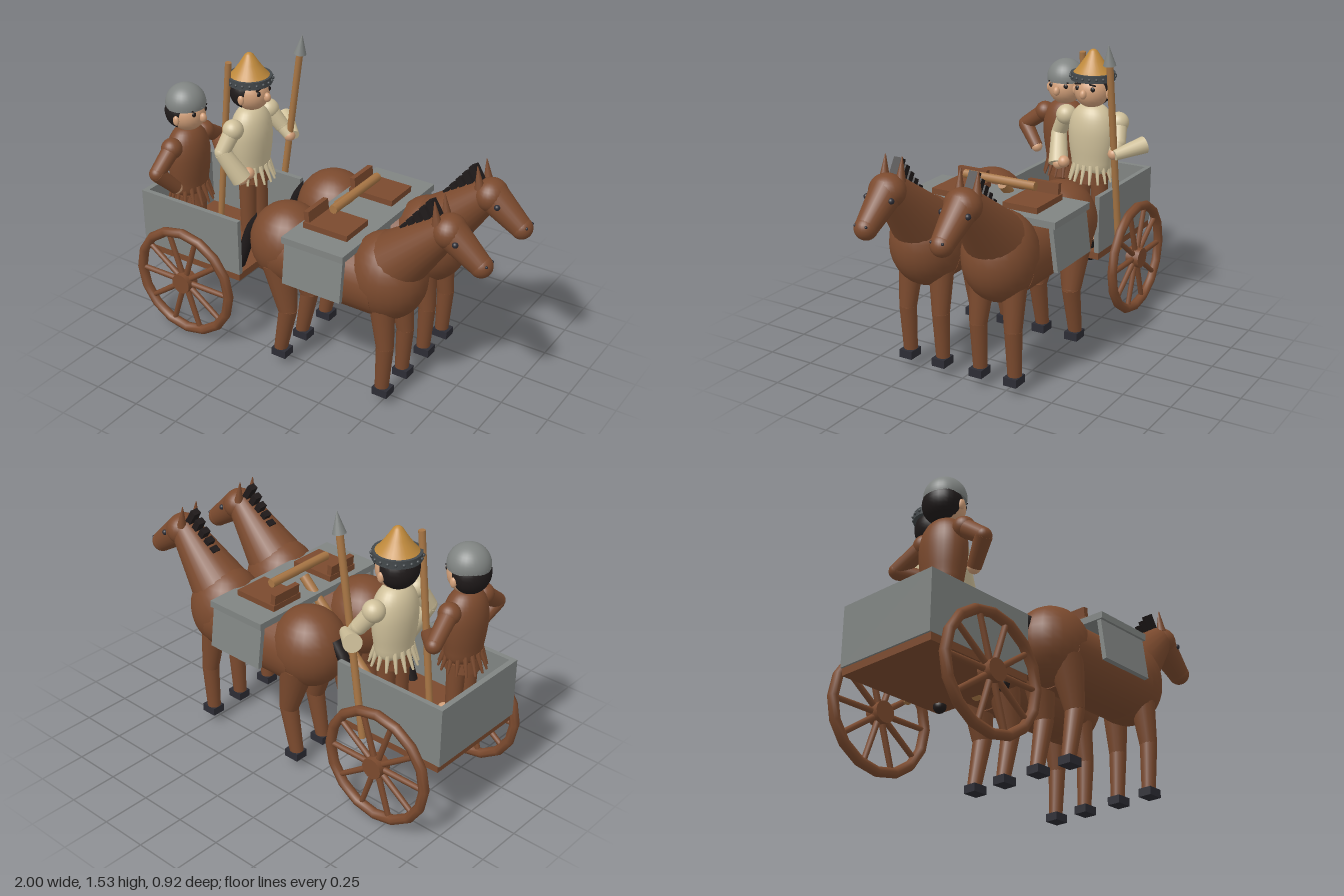
import * as THREE from 'three';

const mat = (name, color, side = THREE.FrontSide) => {
  const m = new THREE.MeshStandardMaterial({ color, side });
  m.name = name;
  return m;
};
const M = {
  brown: mat('brown', 0x7b4a2e), grey: mat('grey', 0x808482), gold: mat('gold', 0xc08a3c),
  wood: mat('wood', 0xa87645), skin: mat('skin', 0xd2a07a), cream: mat('cream', 0xcfc09a),
  charcoal: mat('charcoal', 0x2c2c34), black: mat('black', 0x1f1a1a), band: mat('band', 0x44494c),
};
const V = (p) => new THREE.Vector3(...p);

function add(parent, name, geo, material, pos = [0, 0, 0]) {
  const mesh = new THREE.Mesh(geo, material);
  mesh.name = name;
  mesh.position.set(...pos);
  parent.add(mesh);
  return mesh;
}
const box = (g, n, m, size, pos) => add(g, n, new THREE.BoxGeometry(...size), m, pos);
function ball(g, n, m, r, pos, scale = [1, 1, 1]) {
  const s = add(g, n, new THREE.SphereGeometry(r, 24, 16), m, pos);
  s.scale.set(...scale);
  return s;
}
// Tapered rod from a (radius ra) to b (radius rb)
function limb(g, n, m, a, b, ra, rb = ra, sides = 16) {
  const d = V(b).sub(V(a));
  const mesh = add(g, n, new THREE.CylinderGeometry(rb, ra, d.length(), sides), m);
  mesh.position.copy(V(a)).addScaledVector(d, 0.5);
  mesh.quaternion.setFromUnitVectors(new THREE.Vector3(0, 1, 0), d.normalize());
  return mesh;
}

function wheel(z) {
  const g = new THREE.Group();
  g.name = 'wheel';
  g.position.set(-0.685, 0.32, z);
  add(g, 'rim', new THREE.TorusGeometry(0.287, 0.026, 8, 16), M.brown);
  limb(g, 'hub', M.brown, [0, 0, -0.037], [0, 0, 0.037], 0.055);
  for (let i = 0; i < 10; i++) {
    const a = i * Math.PI / 5;
    limb(g, 'spoke', M.brown, [0, 0, 0], [0.28 * Math.cos(a), 0.28 * Math.sin(a), 0], 0.016, 0.014, 8);
  }
  return g;
}

function cart() {
  const g = new THREE.Group();
  g.name = 'cart';
  box(g, 'floor', M.brown, [0.61, 0.04, 0.575], [-0.683, 0.41, 0.005]);
  box(g, 'backPanel', M.grey, [0.028, 0.31, 0.58], [-0.984, 0.583, 0.005]);
  for (const s of [-1, 1]) {
    box(g, 'sidePanel', M.grey, [0.62, 0.31, 0.026], [-0.685, 0.583, 0.005 + s * 0.277]);
    g.add(wheel(s === 1 ? 0.364 : -0.357));
  }
  limb(g, 'drawPole', M.wood, [-0.42, 0.39, 0.005], [0.11, 0.9, 0.005], 0.026);
  limb(g, 'yoke', M.wood, [0.14, 0.93, -0.2], [0.14, 0.93, 0.205], 0.023, 0.023, 8);
  return g;
}

function horse(z) {
  const g = new THREE.Group();
  g.name = 'horse';
  g.position.z = z;
  ball(g, 'rump', M.brown, 0.2, [-0.115, 0.68, 0], [1, 1.04, 0.93]);
  ball(g, 'chest', M.brown, 0.2, [0.46, 0.68, 0], [1, 1.12, 0.93]);
  limb(g, 'barrel', M.brown, [-0.12, 0.65, 0], [0.46, 0.65, 0], 0.183, 0.183, 28);
  // Neck and head
  limb(g, 'neck', M.brown, [0.5, 0.77, 0], [0.765, 1.03, 0], 0.155, 0.077, 24);
  ball(g, 'brow', M.brown, 0.083, [0.775, 1.02, 0], [1, 1, 1.1]);
  limb(g, 'muzzle', M.brown, [0.78, 1.018, 0], [0.945, 0.89, 0], 0.082, 0.055, 24);
  ball(g, 'snout', M.brown, 0.056, [0.944, 0.891, 0]);
  for (const s of [-1, 1]) {
    limb(g, 'ear', M.brown, [0.735, 1.06, s * 0.045], [0.718, 1.175, s * 0.047], 0.026, 0.002, 10);
    ball(g, 'eye', M.charcoal, 0.015, [0.842, 1.0, s * 0.068]);
    ball(g, 'nostril', M.charcoal, 0.007, [0.984, 0.912, s * 0.03]);
  }
  // Mane tufts up the crest of the neck
  for (let i = 0; i < 6; i++) {
    const t = i / 5;
    const tuft = box(g, 'maneTuft', M.black, [0.034, 0.09, 0.045], [0.53 + 0.165 * t, 0.905 + 0.205 * t, 0]);
    tuft.rotation.z = 0.55;
  }
  // Tail
  const path = new THREE.CatmullRomCurve3([[-0.28, 0.77, 0], [-0.345, 0.68, 0], [-0.4, 0.53, 0], [-0.455, 0.38, 0]].map(V));
  add(g, 'tail', new THREE.TubeGeometry(path, 12, 0.03, 10), M.black);
  ball(g, 'tailTip', M.black, 0.032, [-0.455, 0.38, 0]);
  // Legs
  for (const s of [-1, 1]) {
    const w = s * 0.097;
    limb(g, 'thigh', M.brown, [-0.115, 0.6, w * 0.9], [-0.063, 0.345, w], 0.09, 0.05);
    ball(g, 'hock', M.brown, 0.047, [-0.063, 0.345, w]);
    limb(g, 'hindShin', M.brown, [-0.06, 0.35, w], [-0.112, 0.09, w], 0.048, 0.035);
    limb(g, 'foreThigh', M.brown, [0.48, 0.58, w * 0.9], [0.508, 0.335, w], 0.065, 0.044);
    ball(g, 'knee', M.brown, 0.043, [0.508, 0.335, w]);
    limb(g, 'foreShin', M.brown, [0.508, 0.335, w], [0.495, 0.09, w], 0.044, 0.035);
    for (const x of [-0.104, 0.502]) box(g, 'hoof', M.charcoal, [0.084, 0.042, 0.072], [x, 0.077, w]);
  }
  // Saddle cloth and saddle
  box(g, 'saddleCloth', M.grey, [0.347, 0.035, 0.45], [0.172, 0.83, 0]);
  for (const s of [-1, 1]) {
    const flap = box(g, 'clothFlap', M.grey, [0.33, 0.225, 0.024], [0.172, 0.708, s * 0.213]);
    flap.rotation.x = -s * 0.13;
  }
  box(g, 'saddleSeat', M.brown, [0.25, 0.032, 0.19], [0.16, 0.862, 0]);
  const cantle = box(g, 'cantle', M.brown, [0.028, 0.075, 0.17], [0.05, 0.895, 0]);
  cantle.rotation.z = 0.1;
  return g;
}

// Standing figure facing +x; arms are [shoulder, elbow, hand, elbowRadius, wristRadius]
function rider(name, x, y, z, tunic, arms) {
  const g = new THREE.Group();
  g.name = name;
  g.position.set(x, y, z);
  const profile = [[0, 0.8], [0.078, 0.805], [0.095, 0.88], [0.106, 0.97], [0.106, 1.05], [0.088, 1.12], [0.05, 1.165], [0, 1.17]];
  const torso = add(g, 'tunic', new THREE.LatheGeometry(
    new THREE.SplineCurve(profile.map((p) => new THREE.Vector2(...p))).getPoints(24).map((p) => p.setX(Math.max(p.x, 0))), 28), tunic);
  torso.scale.set(0.92, 1, 1.2);
  // Skirt and hanging fringe
  limb(g, 'skirt', M.brown, [0, 0.75, 0], [0, 0.84, 0], 0.09, 0.078, 20);
  for (let i = 0; i < 16; i++) {
    const a = i * Math.PI / 8, c = Math.cos(a), s = Math.sin(a);
    limb(g, 'fringe', tunic, [c * 0.08, 0.85, s * 0.09], [c * 0.118, 0.755, s * 0.118], 0.014, 0.006, 6);
  }
  for (const s of [-1, 1]) {
    limb(g, 'leg', M.brown, [0, 0.45 - y, s * 0.055], [0, 0.8, s * 0.05], 0.04, 0.048);
    ball(g, 'foot', M.skin, 0.04, [0.025, 0.452 - y, s * 0.055], [1.5, 0.7, 0.9]);
  }
  // Head
  ball(g, 'head', M.skin, 0.094, [0.008, 1.247, 0]);
  ball(g, 'hair', M.black, 0.1, [-0.017, 1.258, 0], [0.9, 1, 1.04]);
  ball(g, 'nose', M.skin, 0.02, [0.107, 1.24, 0], [1, 1.25, 0.9]);
  for (const s of [-1, 1]) {
    ball(g, 'ear', M.skin, 0.022, [0.012, 1.235, s * 0.098], [0.8, 1.2, 0.6]);
    ball(g, 'eye', M.black, 0.013, [0.087, 1.267, s * 0.044], [0.6, 1, 1]);
    const brow = box(g, 'eyebrow', M.black, [0.009, 0.007, 0.036], [0.085, 1.29, s * 0.042]);
    brow.rotation.x = s * 0.15;
  }
  // Arms
  for (const [sh, el, ha, re, rw] of arms) {
    ball(g, 'shoulder', tunic, 0.055, sh);
    limb(g, 'upperArm', tunic, sh, el, 0.046, 0.04);
    ball(g, 'elbow', tunic, 0.04, el);
    limb(g, 'forearm', tunic, el, ha, re, rw);
    ball(g, 'hand', M.skin, 0.031, ha);
  }
  return g;
}

function driver() {
  const g = rider('helmetedRider', -0.79, -0.06, 0.145, M.brown, [
    [[0, 1.09, 0.13], [0.0, 1.0, 0.255], [0.04, 0.89, 0.16], 0.042, 0.034],
    [[0, 1.09, -0.13], [-0.03, 1.0, -0.28], [0.09, 0.96, -0.165], 0.042, 0.034],
  ]);
  const cap = add(g, 'helmet', new THREE.SphereGeometry(0.104, 28, 12, 0, Math.PI * 2, 0, Math.PI * 0.55), M.grey, [0, 1.3, 0]);
  cap.scale.y = 0.98;
  limb(g, 'helmetBase', M.grey, [0, 1.283, 0], [0, 1.295, 0], 0.103, 0.104, 28);
  return g;
}

function spearman() {
  const g = rider('spearman', -0.585, 0, -0.125, M.cream, [
    [[0, 1.09, 0.155], [-0.03, 0.98, 0.215], [0.055, 0.83, 0.17], 0.042, 0.054],
    [[0, 1.09, -0.155], [0.06, 1.0, -0.185], [0.11, 0.95, -0.185], 0.038, 0.03],
  ]);
  ball(g, 'hand', M.skin, 0.032, [0.07, 0.85, 0.13]);
  // Flared sleeve spreading away from the spear hand
  limb(g, 'sleeve', M.cream, [0.13, 0.95, -0.2], [-0.005, 0.99, -0.305], 0.028, 0.046);
  // Pointed hat with dark band
  limb(g, 'hatBand', M.band, [0, 1.302, 0], [0, 1.342, 0], 0.117, 0.117, 28);
  const hat = [[0.11, 1.335], [0.085, 1.36], [0.052, 1.405], [0.022, 1.452], [0.01, 1.46], [0, 1.461]];
  add(g, 'hat', new THREE.LatheGeometry(hat.map((p) => new THREE.Vector2(...p)), 28), M.gold);
  for (let i = 0; i < 20; i++) {
    const a = i * Math.PI / 10;
    ball(g, 'hatStud', M.band, 0.008, [0.118 * Math.cos(a), 1.322, 0.118 * Math.sin(a)]);
  }
  return g;
}

export function createModel() {
  const root = new THREE.Group();
  root.name = 'horseCart';
  root.add(cart(), horse(0.213), horse(-0.197), driver(), spearman());
  // Spear outside the cart side, and plain staff between the riders
  limb(root, 'spearShaft', M.wood, [-0.56, 0.4, -0.312], [-0.402, 1.44, -0.312], 0.018);
  limb(root, 'spearHead', M.grey, [-0.402, 1.432, -0.312], [-0.386, 1.537, -0.312], 0.033, 0.001);
  limb(root, 'staff', M.wood, [-0.745, 0.45, -0.03], [-0.645, 1.425, -0.03], 0.017);
  return root;
}
